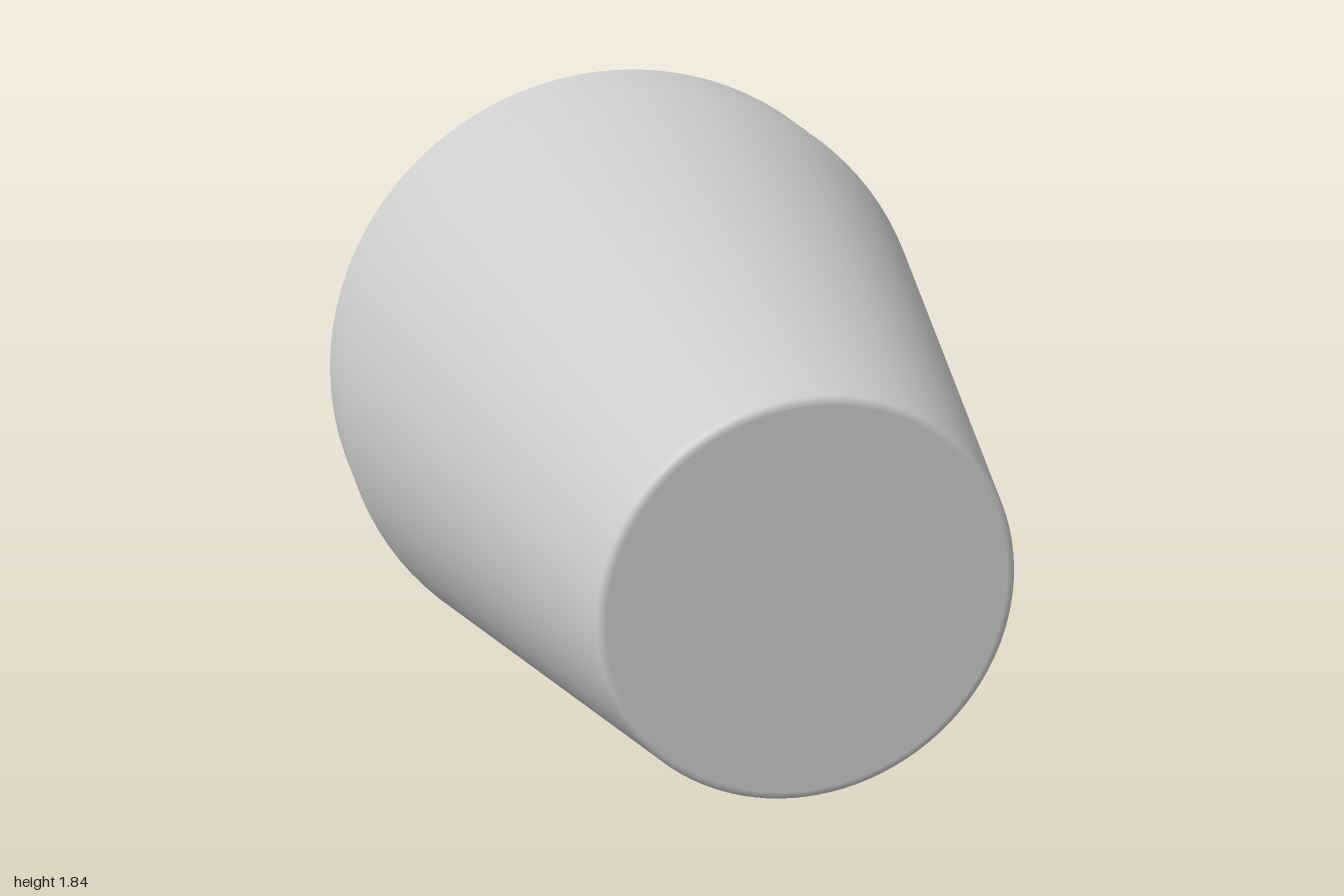
import * as THREE from 'three';

const LENGTH = 1.745;   // length of one cup
const STEP = 0.1275;    // offset between nested cups
const AXIS_Y = 0.922;   // height of the common axis
const WALL = 0.022;

// Half section of one cup: closed base, rounded corners, flared wall, rounded rim, inner wall and floor
function cupProfile() {
  const base = 0.538, rim = 0.922;
  const slope = (rim - base) / (LENGTH - 0.03);
  const outer = (y) => base + slope * (y - 0.02);
  const inner = (y) => outer(y) - WALL;
  const pts = [[0, 0], [base - 0.026, 0], [base - 0.022, 0]];
  // rounded base corner
  for (let i = 1; i <= 4; i++) {
    const a = (i / 4) * 1.36;
    pts.push([base - 0.022 + 0.022 * Math.sin(a), 0.022 * (1 - Math.cos(a))]);
  }
  pts.push([outer(0.026), 0.026], [outer(LENGTH - 0.016), LENGTH - 0.016]);
  // rounded rim
  const r = WALL / 2, yc = LENGTH - r, xc = outer(yc) - r;
  for (let i = 0; i <= 6; i++) {
    const a = (i / 6) * Math.PI;
    pts.push([xc + r * Math.cos(a), yc + r * Math.sin(a)]);
  }
  // inner wall and floor
  pts.push([inner(LENGTH - 0.016), LENGTH - 0.016], [inner(0.05), 0.05]);
  pts.push([inner(0.04) - 0.003, 0.032], [inner(0.03) - 0.012, 0.025]);
  pts.push([inner(0.03) - 0.018, 0.025], [0, 0.025]);
  return pts.map(([x, y]) => new THREE.Vector2(Math.max(x, 0), y));
}

export function createModel() {
  const group = new THREE.Group();
  group.name = 'nestedCups';
  const grey = new THREE.MeshStandardMaterial({ color: 0xcccccc });
  grey.name = 'lightGrey';

  // Lay the cup on its side with the base facing forward
  const geometry = new THREE.LatheGeometry(cupProfile(), 96);
  geometry.rotateX(-Math.PI / 2);

  // Three identical cups stacked inside one another
  ['outerCup', 'middleCup', 'innerCup'].forEach((name, i) => {
    const cup = new THREE.Mesh(geometry, grey);
    cup.name = name;
    cup.position.set(0, AXIS_Y, 1 - i * STEP);
    group.add(cup);
  });
  return group;
}
